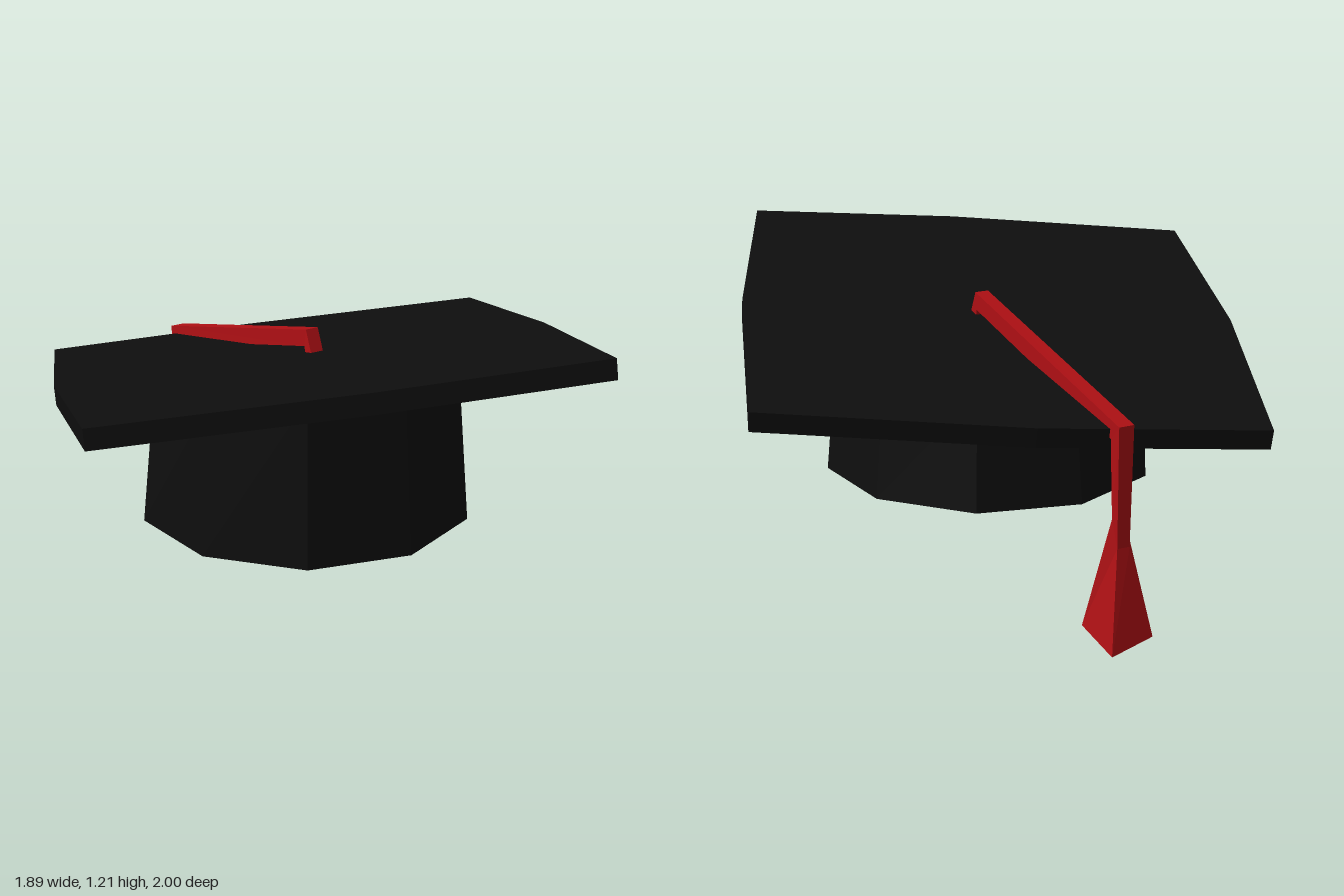
import * as THREE from 'three';

// Lofts a closed skin through rings of [x, y, z] points (counter-clockwise seen from the far end),
// closes both ends and gives every facet its own normal.
function loft(rings) {
  const n = rings[0].length;
  const last = rings.length - 1;
  const index = [];
  for (let r = 0; r < last; r++) {
    for (let i = 0; i < n; i++) {
      const j = (i + 1) % n;
      const a = r * n + i, b = r * n + j, c = a + n, d = b + n;
      index.push(a, b, d, a, d, c);
    }
  }
  for (let i = 1; i < n - 1; i++) {
    index.push(0, i + 1, i);
    index.push(last * n, last * n + i, last * n + i + 1);
  }
  const indexed = new THREE.BufferGeometry();
  indexed.setAttribute('position', new THREE.Float32BufferAttribute(rings.flat(2), 3));
  indexed.setIndex(index);
  const geometry = indexed.toNonIndexed();
  geometry.computeVertexNormals();
  return geometry;
}

// Height of the tilted board's upper face
const boardTop = (x, z) => 0.976 + 0.07 * x + 0.18 * z;
const THICKNESS = 0.076;

// Ten-sided ring of the cap; y is a number or a function of (x, z)
function capRing(radius, y) {
  return Array.from({ length: 10 }, (_, i) => {
    const angle = THREE.MathUtils.degToRad(-10 + 36 * i);
    const x = radius * Math.sin(angle);
    const z = 0.06 + radius * Math.cos(angle);
    return [x, typeof y === 'function' ? y(x, z) : y, z];
  });
}

// Four-cornered cord section: centre, half-width vector and half-depth vector
function cordRing(c, w, d) {
  return [[-1, 1], [-1, -1], [1, -1], [1, 1]].map(([p, q]) =>
    c.map((v, k) => v + p * w[k] + q * d[k]));
}

export function createModel() {
  const group = new THREE.Group();
  const black = new THREE.MeshStandardMaterial({ color: 0x0e0e0e });
  black.name = 'black cloth';
  const red = new THREE.MeshStandardMaterial({ color: 0xb01014 });
  red.name = 'red cord';

  const add = (name, geometry, material) => {
    const mesh = new THREE.Mesh(geometry, material);
    mesh.name = name;
    group.add(mesh);
  };

  // Board: square with slightly bulging sides, tilted up toward the front left
  const outline = [
    [-0.9, 0.945], [0.07, 0.985], [0.9, 0.945], [0.942, 0.05],
    [0.9, -0.842], [-0.07, -0.885], [-0.9, -0.842], [-0.947, 0.05],
  ];
  const top = outline.map(([x, z]) => [x, boardTop(x, z), z]);
  const bottom = top.map(([x, y, z]) => [x + 0.005, y - THICKNESS + 0.002, z + 0.013]);
  add('board', loft([bottom, top]), black);

  // Skull cap: hollow from below, with its crown meeting the board
  const ceiling = (x, z) => boardTop(x, z) - 0.22;
  const crown = (x, z) => boardTop(x, z) - THICKNESS + 0.01;
  add('skullCap', loft([
    capRing(0.52, ceiling),
    capRing(0.57, 0.39),
    capRing(0.645, 0.39),
    capRing(0.593, crown),
  ]), black);

  // Tassel: flared brush, waist, bend over the rim, cord and end tucked into the board
  add('tassel', loft([
    cordRing([-0.357, 0.05, -0.89], [0.0775, -0.02, -0.035], [-0.0425, -0.03, -0.073]),
    cordRing([-0.36, 0.425, -0.9], [0.023, 0, -0.008], [-0.008, -0.05, -0.014]),
    cordRing([-0.36, 0.79, -0.887], [0.028, 0, -0.012], [-0.01, 0.028, -0.024]),
    cordRing([0.033, 1.035, 0.005], [0.025, 0, -0.011], [0.002, 0.034, 0.004]),
    cordRing([0.042, 0.96, 0.04], [0.025, 0, -0.011], [0.008, 0.01, 0.018]),
  ]), red);

  return group;
}
